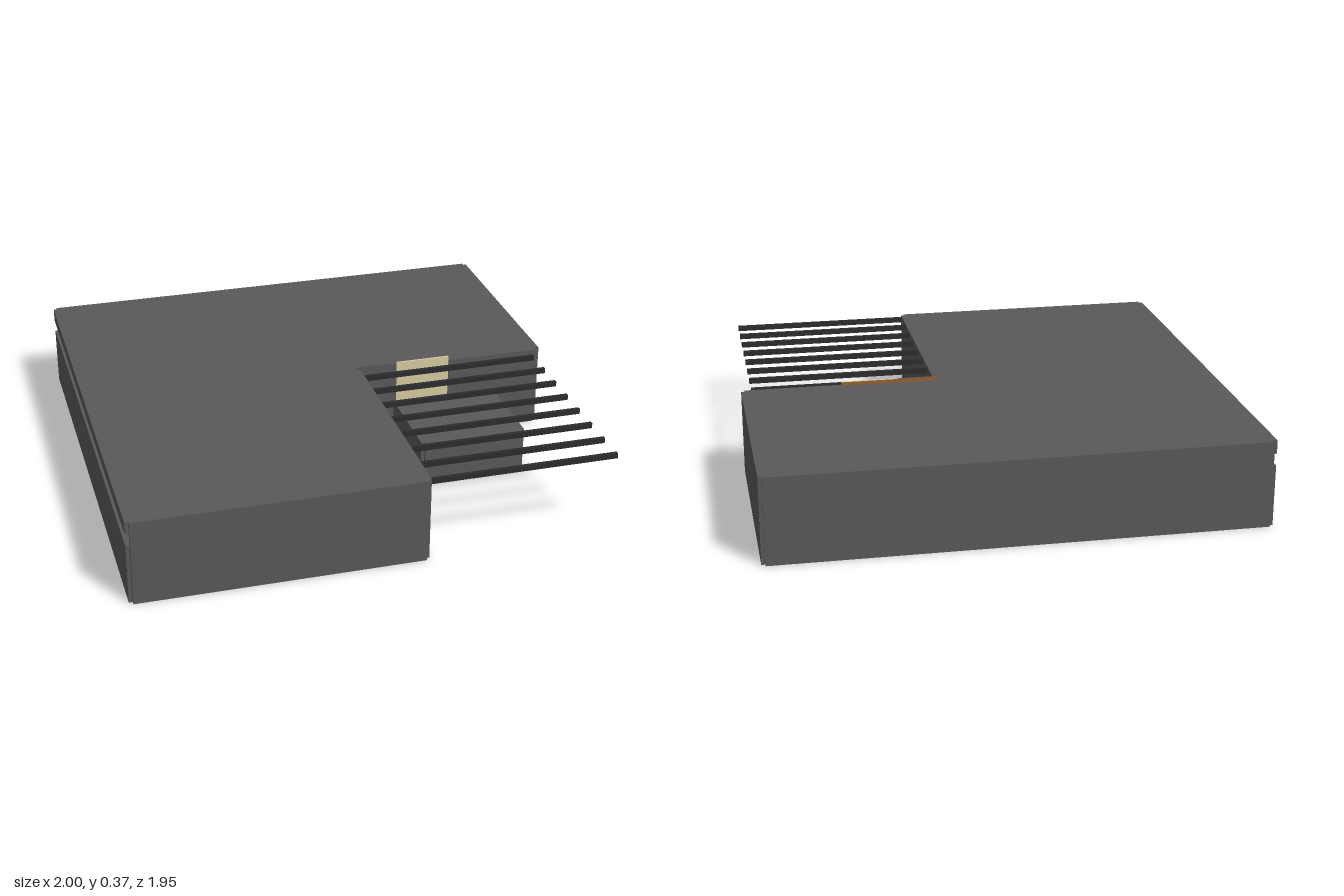
import * as THREE from 'three';

export function createModel() {
  const model = new THREE.Group();
  const mat = (color) => new THREE.MeshStandardMaterial({ color });
  const grey = mat(0x5a585a), wood = mat(0x96622c), black = mat(0x2c2c2e);
  const pale = mat(0xd6cca0), darkWood = mat(0x6a2c18);
  const T = 0.015, H = 0.355;

  // Box given by its limits; listed faces (0..5 = +x,-x,+y,-y,+z,-z) take the second material
  function block(name, [x0, x1], [y0, y1], [z0, z1], main, other = main, faces = []) {
    const mats = [0, 1, 2, 3, 4, 5].map((i) => (faces.includes(i) ? other : main));
    const mesh = new THREE.Mesh(new THREE.BoxGeometry(x1 - x0, y1 - y0, z1 - z0), mats);
    mesh.position.set((x0 + x1) / 2, (y0 + y1) / 2, (z0 + z1) / 2);
    mesh.name = name;
    model.add(mesh);
    return mesh;
  }

  // L-shaped floor and roof slabs
  const outline = [[-0.985, -0.96], [0.985, -0.96], [0.985, -0.005], [0.17, -0.005], [0.17, 0.96], [-0.985, 0.96]];
  function slab(name, top, thickness) {
    const shape = new THREE.Shape(outline.map(([x, z]) => new THREE.Vector2(x, z)));
    const geo = new THREE.ExtrudeGeometry(shape, { depth: thickness, bevelEnabled: false });
    geo.rotateX(Math.PI / 2);
    const mesh = new THREE.Mesh(geo, [grey, wood]);
    mesh.position.y = top;
    mesh.name = name;
    model.add(mesh);
  }
  slab('floor', 0.016, 0.015);
  slab('roof', H, 0.015);

  // Outer walls: grey outside, wood inside and on the lower edge, open at the mitred corners
  const full = [0, H];
  block('backWall', [-0.985, 0.985], full, [-0.975, -0.975 + T], grey, wood, [3, 4]);
  block('frontWall', [-0.985, 0.17], full, [0.975 - T, 0.975], grey, wood, [3, 5]);
  block('rightEndWall', [0.985, 1], full, [-0.96, -0.005], grey, wood, [1, 3]);
  block('courtyardSideWall', [0.17, 0.185], full, [0.005, 0.96], grey, wood, [1, 3]);
  block('courtyardBackWall', [0.58, 0.985], full, [-0.005, 0.01], grey, wood, [3, 5]);

  // Long side wall, split by a full-length window slot
  block('slotWallLower', [-1, -0.985], [0, 0.25], [-0.96, 0.96], grey, wood, [0, 3]);
  block('slotWallUpper', [-1, -0.985], [0.3, H], [-0.96, 0.96], grey, wood, [0]);

  // Entrance panels, rising slightly above the roof
  block('entrancePanel', [0.17, 0.345], [0, 0.37], [-0.005, 0.004], grey, wood, [3, 5]);
  block('entranceDoor', [0.345, 0.58], [0, 0.37], [-0.005, 0.004], pale, wood, [3, 5]);

  // Entrance platform with its facing board
  block('platform', [0.335, 0.79], [0, 0.185], [0.005, 0.388], grey, darkWood, [3]);
  block('platformFront', [0.35, 0.775], [0, 0.185], [0.388, 0.4], grey, darkWood, [3]);

  // Pergola beams over the courtyard
  for (let i = 0; i < 8; i++) {
    const z = 0.05 + i * 0.128;
    block('pergolaBeam', [0.185, 0.955], [0.328, 0.35], [z - 0.008, z + 0.008], black);
  }
  return model;
}
